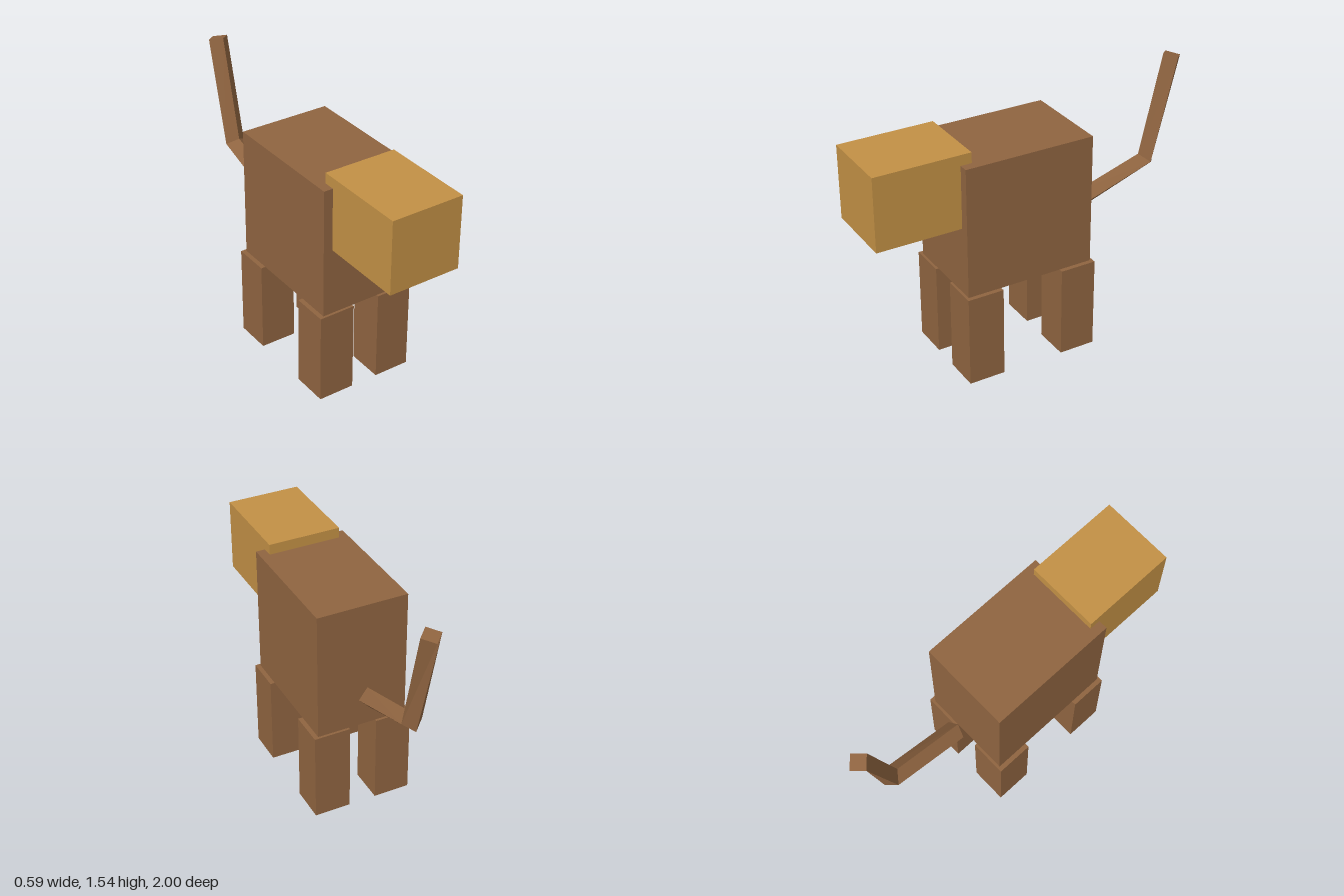
import * as THREE from 'three';

export function createModel() {
  const model = new THREE.Group();
  model.name = 'blockAnimal';
  const brown = new THREE.MeshStandardMaterial({ color: 0x8f6440 });
  brown.name = 'brown fur';
  const gold = new THREE.MeshStandardMaterial({ color: 0xc29045 });
  gold.name = 'golden head';

  function add(name, geometry, material) {
    const mesh = new THREE.Mesh(geometry, material);
    mesh.name = name;
    model.add(mesh);
    return mesh;
  }
  function block(name, size, center, material) {
    add(name, new THREE.BoxGeometry(...size), material).position.set(...center);
  }

  block('body', [0.534, 0.763, 0.763], [0, 0.918, 0.128], brown);
  block('head', [0.427, 0.427, 0.555], [0, 1.147, 0.7225], gold);

  // Four square legs
  for (const [side, x] of [['Left', 0.187], ['Right', -0.187]]) {
    for (const [end, z] of [['front', 0.418], ['back', -0.162]]) {
      block(`${end}${side}Leg`, [0.213, 0.537, 0.213], [x, 0.2685, z], brown);
    }
  }

  add('tail', tailGeometry(), brown);
  return model;
}

// Bent, diamond-section tail: straight lower half, quarter-twisted upper half
function tailGeometry() {
  // Each ring: centre [y, z] and the offset [y, z] of its upper corner
  const rings = [
    [[0.765, -0.33], [0.056, 0.017]],
    [[0.918, -0.79], [0.038, 0.048]],
    [[1.526, -0.942], [0.015, 0.058]],
  ];
  const points = [];
  for (const [[y, z], [dy, dz]] of rings) {
    points.push([0, y + dy, z + dz], [0.06, y, z], [0, y - dy, z - dz], [-0.06, y, z]);
  }
  const index = [0, 3, 2, 0, 2, 1, 8, 9, 10, 8, 10, 11]; // end caps
  for (let i = 0; i < 4; i++) {
    const j = (i + 1) % 4, k = (i + 2) % 4;
    const b = 4, c = 8;
    // Lower half
    index.push(i, j, b + j, i, b + j, b + i);
    // Upper half, each corner joined to the next one round
    if (i === 1) index.push(b + i, b + j, c + k, b + i, c + k, c + j);
    else index.push(b + i, b + j, c + j, b + j, c + k, c + j);
  }
  const geometry = new THREE.BufferGeometry();
  geometry.setAttribute('position', new THREE.Float32BufferAttribute(points.flat(), 3));
  geometry.setIndex(index);
  const flat = geometry.toNonIndexed();
  flat.computeVertexNormals();
  return flat;
}
